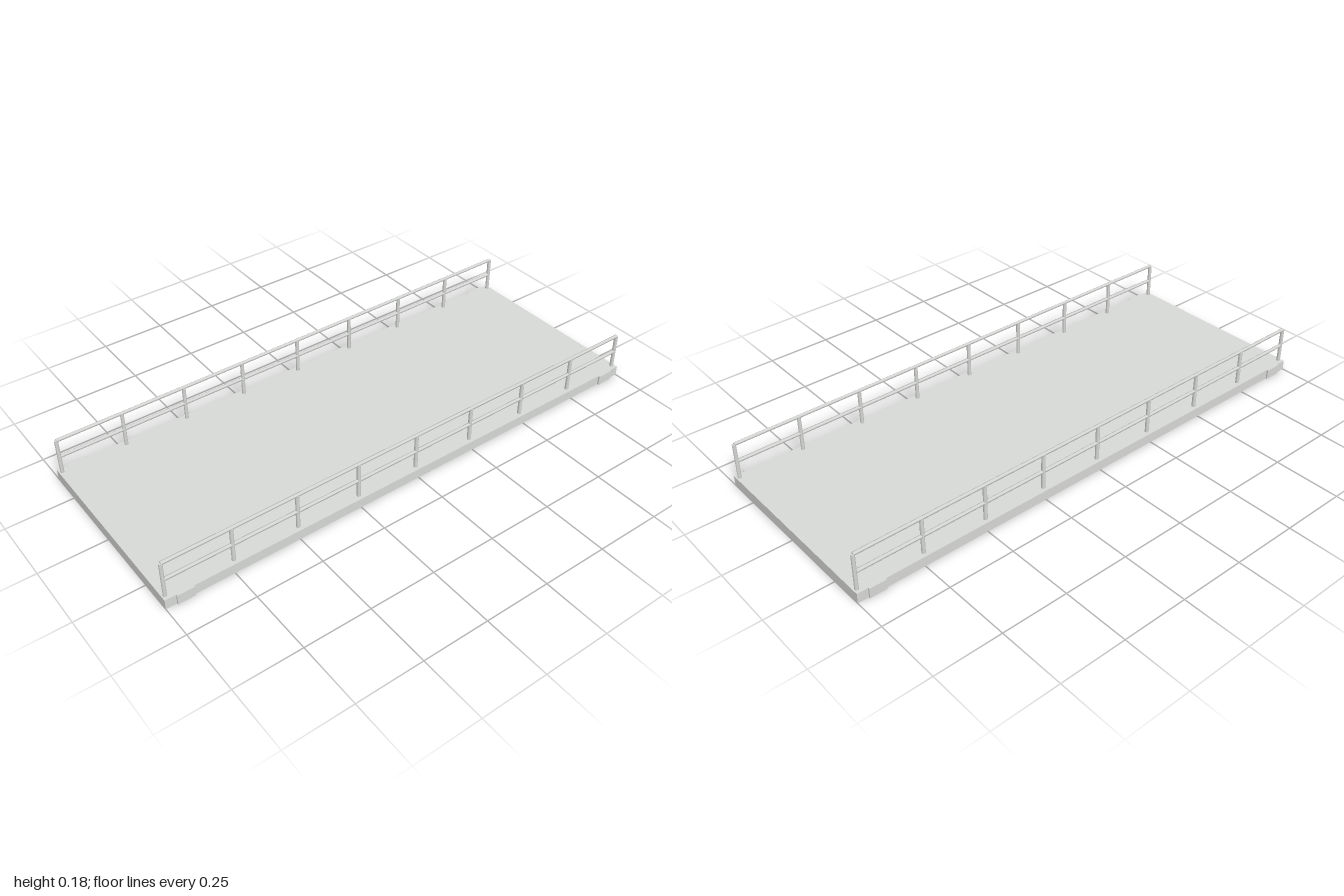
import * as THREE from 'three';

const paleGrey = new THREE.MeshStandardMaterial({ color: 0xd8dad7 });
paleGrey.name = 'paleGrey';

function add(parent, name, geometry, x, y, z) {
  const mesh = new THREE.Mesh(geometry, paleGrey);
  mesh.name = name;
  mesh.position.set(x, y, z);
  parent.add(mesh);
}

export function createModel() {
  const model = new THREE.Group();
  model.name = 'footbridge';

  // Flat deck slab
  const deckH = 0.038, deckZ = 0.375;
  add(model, 'deck', new THREE.BoxGeometry(2, deckH, deckZ * 2), 0, deckH / 2, 0);

  // Shared railing geometry
  const railY = 0.176, endX = 0.988, bays = 8;
  const postH = railY - deckH;
  const postGeo = new THREE.CylinderGeometry(0.0072, 0.0072, postH, 8);
  // Six-sided rails with one corner pointing up
  const railGeo = new THREE.CylinderGeometry(0.0068, 0.0068, endX * 2, 6)
    .rotateY(Math.PI / 6).rotateZ(Math.PI / 2);
  const padGeo = new THREE.BoxGeometry(0.064, deckH, 0.012);

  for (const side of [1, -1]) {
    // Small pads on the deck edge near each corner
    for (const end of [1, -1]) {
      add(model, 'edgePad', padGeo, end * 0.928, deckH / 2, side * 0.375);
    }

    // Posts with a top rail and a middle rail
    const railing = new THREE.Group();
    railing.name = side > 0 ? 'frontRailing' : 'backRailing';
    railing.position.z = side * 0.356;
    for (let i = 0; i <= bays; i++) {
      add(railing, 'post', postGeo, -endX + (2 * endX * i) / bays, deckH + postH / 2, 0);
    }
    add(railing, 'topRail', railGeo, 0, railY, 0);
    add(railing, 'middleRail', railGeo, 0, 0.106, 0);
    model.add(railing);
  }
  return model;
}
